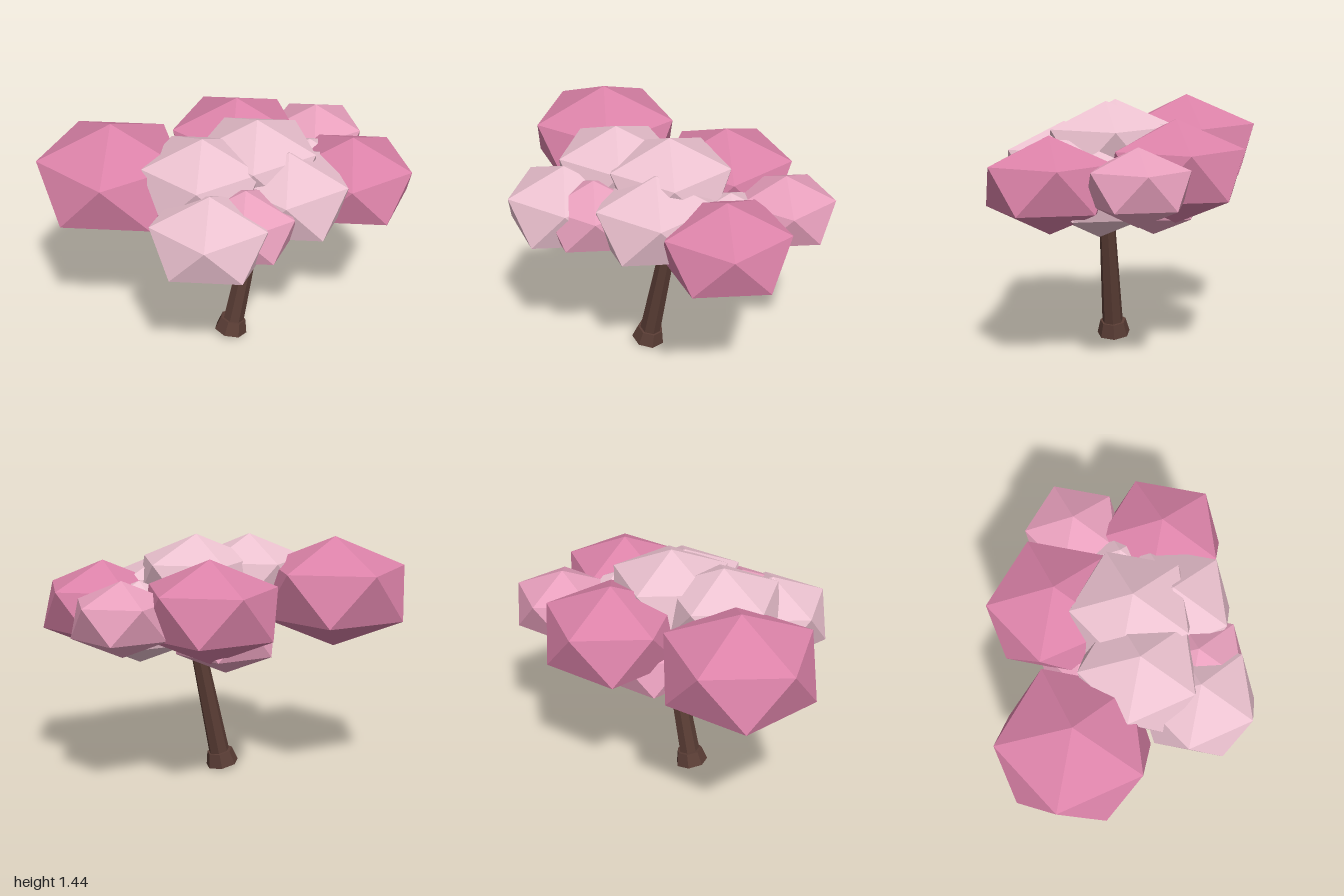
import * as THREE from 'three';

const material = (color) =>
  new THREE.MeshStandardMaterial({ color, flatShading: true });

// Icosahedron standing on a corner, upper ring pointing to +x, squashed in height
function puffGeometry(ringRadius) {
  const radius = ringRadius / 0.8944;
  const geo = new THREE.IcosahedronGeometry(radius, 0);
  geo.rotateX(-Math.atan((1 + Math.sqrt(5)) / 2));
  geo.rotateY(Math.PI / 2);
  geo.scale(1, 0.685, 1);
  return geo;
}

// Tapered low-poly limb between two points
function limb(name, from, to, r0, r1, mat, sides = 7) {
  const a = new THREE.Vector3(...from);
  const dir = new THREE.Vector3(...to).sub(a);
  const geo = new THREE.CylinderGeometry(r1, r0, dir.length(), sides);
  geo.translate(0, dir.length() / 2, 0);
  const mesh = new THREE.Mesh(geo, mat);
  mesh.name = name;
  mesh.position.copy(a);
  mesh.quaternion.setFromUnitVectors(new THREE.Vector3(0, 1, 0), dir.normalize());
  return mesh;
}

export function createModel() {
  const tree = new THREE.Group();
  tree.name = 'blossomTree';

  const bark = material(0x5a3d35);
  const deep = material(0xdb82a8);
  const mid = material(0xe8a0bd);
  const light = material(0xecc2d0);

  // Leaning trunk with a flared foot
  const crotch = [0.155, 0.76, 0];
  tree.add(limb('trunk', [0.06, 0.06, 0.112], crotch, 0.064, 0.046, bark));
  tree.add(limb('trunkFoot', [0.05, 0.012, 0.121], [0.061, 0.095, 0.107], 0.1, 0.078, bark));

  // Branches fanning out into the crown
  const branches = new THREE.Group();
  branches.name = 'branches';
  const tips = [
    [0.46, 0.93, -0.16],
    [-0.26, 1.05, 0.16],
    [0.32, 0.85, 0.22],
    [0.1, 1.0, -0.3],
  ];
  for (const tip of tips) {
    branches.add(limb('branch', [0.152, 0.735, 0.003], tip, 0.036, 0.022, bark, 6));
  }
  tree.add(branches);

  // Blossom clumps: x, y, z, ring radius, material
  const crown = new THREE.Group();
  crown.name = 'crown';
  const puffs = [
    [-0.58, 1.097, 0.335, 0.425, deep],
    [-0.105, 1.05, -0.35, 0.387, deep],
    [0.64, 1.013, -0.265, 0.355, deep],
    [-0.09, 0.873, -0.12, 0.29, mid],
    [0.293, 1.025, -0.637, 0.282, mid],
    [0.262, 1.025, 0.425, 0.282, mid],
    [0.122, 1.011, 0.586, 0.33, light],
    [0.384, 1.055, 0.09, 0.347, light],
    [0.365, 0.95, -0.32, 0.312, light],
    [0.16, 1.165, 0, 0.35, light],
    [-0.05, 1.155, 0.285, 0.34, light],
  ];
  for (const [x, y, z, r, mat] of puffs) {
    const puff = new THREE.Mesh(puffGeometry(r), mat);
    puff.name = 'blossomClump';
    puff.position.set(x, y, z);
    crown.add(puff);
  }
  tree.add(crown);

  return tree;
}
